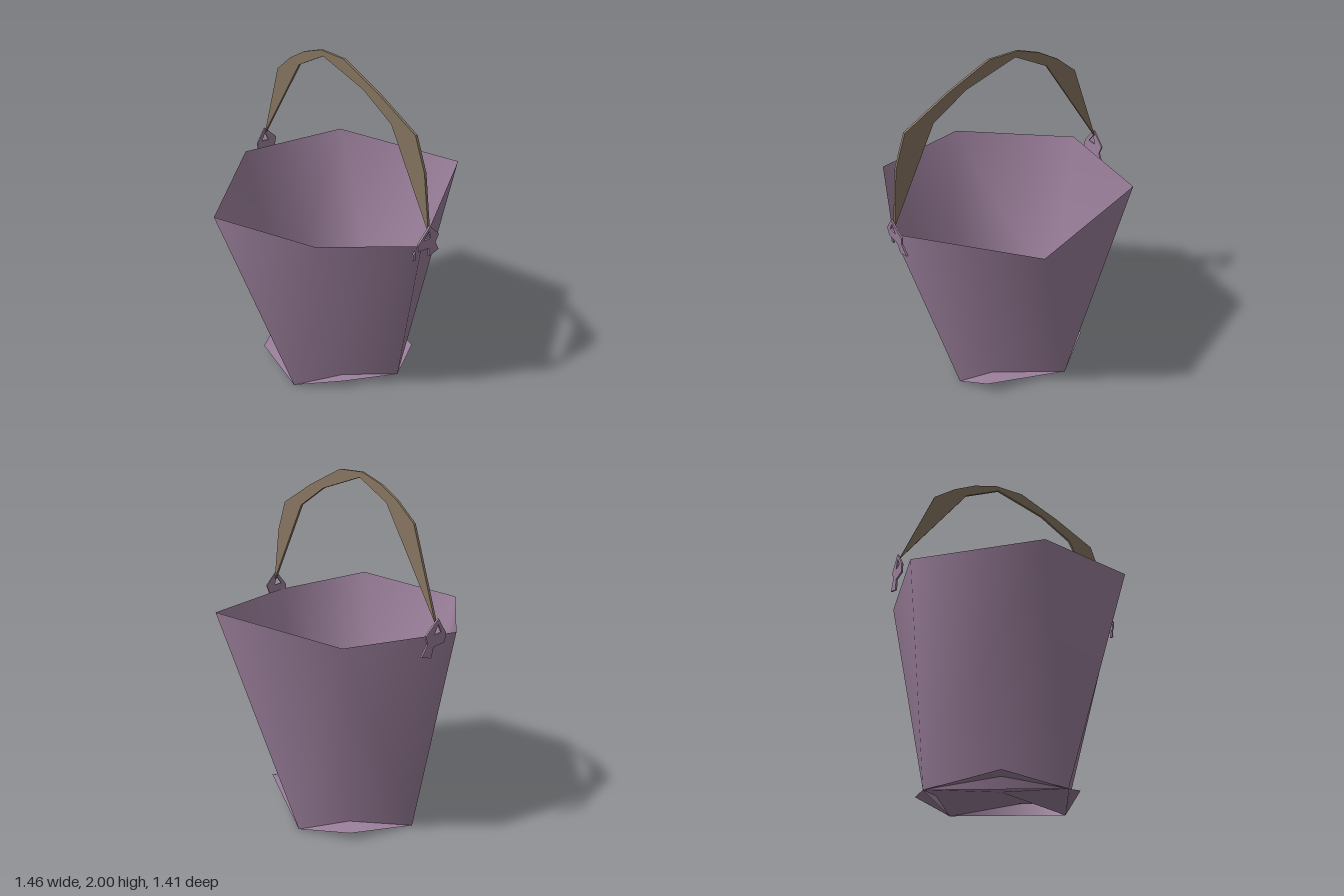
import * as THREE from 'three';

const plum = new THREE.MeshStandardMaterial({ color: 0x9c809c, side: THREE.DoubleSide });
plum.name = 'plum';
const wood = new THREE.MeshStandardMaterial({ color: 0x857460, side: THREE.DoubleSide });
wood.name = 'wood brown';

function surface(name, points, faces, material) {
  const g = new THREE.BufferGeometry();
  g.setAttribute('position', new THREE.Float32BufferAttribute(points.flat(), 3));
  g.setIndex(faces.flat());
  g.computeVertexNormals();
  const mesh = new THREE.Mesh(g, material);
  mesh.name = name;
  return mesh;
}

// Fan from a centre point to a closed ring; down flips the facing
function fan(name, centre, ring, down) {
  const n = ring.length;
  const faces = ring.map((_, i) => {
    const a = i + 1, b = ((i + 1) % n) + 1;
    return down ? [0, b, a] : [0, a, b];
  });
  return surface(name, [centre, ...ring], faces, plum);
}

// Thin flat plate cut from an outline, with optional holes
function plate(name, outline, depth, material, holes = []) {
  const toVectors = (list) => list.map(([x, y]) => new THREE.Vector2(x, y));
  const shape = new THREE.Shape(toVectors(outline));
  for (const h of holes) shape.holes.push(new THREE.Path(toVectors(h)));
  const g = new THREE.ExtrudeGeometry(shape, { depth, bevelEnabled: false });
  g.translate(0, 0, -depth / 2);
  const mesh = new THREE.Mesh(g, material);
  mesh.name = name;
  return mesh;
}

export function createModel() {
  const bucket = new THREE.Group();
  bucket.name = 'bucket';

  // Wall: an uneven six-sided rim tapering to a four-cornered foot
  const rim = [
    [0.705, 1.18, 0.02], [0.28, 1.26, -0.71], [-0.565, 1.235, -0.5],
    [-0.71, 1.22, 0.15], [-0.19, 1.2, 0.705], [0.46, 1.262, 0.52],
  ];
  const foot = [[0.43, 0, -0.14], [-0.14, 0, -0.485], [-0.53, 0, 0.05], [0.09, 0, 0.42]];
  bucket.add(surface('wall', [...rim, ...foot], [
    [0, 6, 1], [1, 6, 7], [1, 7, 2], [2, 7, 8], [2, 8, 3],
    [3, 8, 4], [4, 8, 9], [4, 9, 5], [5, 9, 0], [0, 9, 6],
  ], plum));

  // Floor inside
  const floorRing = [
    [0.38, -0.16], [0.34, -0.2], [-0.1, -0.475], [-0.17, -0.46],
    [-0.47, -0.02], [-0.37, 0.17], [0.04, 0.39], [0.1, 0.385],
  ].map(([x, z]) => [x, 0.07, z]);
  bucket.add(fan('floor', [-0.04, 0.07, -0.04], floorRing, false));

  // Underside: its skirt flares up and out between the foot corners
  const flares = [[0.36, 0.09, -0.33], [-0.42, 0.05, -0.33], [-0.27, 0.06, 0.39], [0.31, 0.06, 0.2]];
  const skirt = foot.flatMap((p, i) => [p, flares[i]]);
  bucket.add(fan('underside', [-0.04, 0.06, -0.04], skirt, true));

  // Handle: flat crooked arch
  const handle = plate('handle', [
    [-0.72, 1.3], [-0.53, 1.78], [-0.4, 1.88], [-0.27, 1.95], [-0.12, 2], [0.07, 2],
    [0.34, 1.89], [0.6, 1.76], [0.67, 1.58], [0.715, 1.25],
    [0.43, 1.76], [0.22, 1.88], [-0.1, 1.97], [-0.32, 1.86],
  ], 0.014, wood);
  const hp = handle.geometry.attributes.position;
  for (let i = 0; i < hp.count; i++) {
    hp.setZ(i, hp.getZ(i) + 0.006 - 0.022 * Math.max(0, (2 - hp.getY(i)) / 0.7));
  }
  handle.geometry.computeVertexNormals();
  bucket.add(handle);

  // Ears: small pierced lugs that hold the handle ends
  const lug = [
    [0.01, 0.21], [0.09, 0.13], [0.075, 0.08], [0.11, 0.02], [0.04, 0],
    [0.03, 0.06], [-0.05, 0.07], [-0.055, 0.12],
  ];
  const hole = [[0.01, 0.18], [-0.02, 0.13], [0.03, 0.125]];
  for (const [name, x, y, tilt] of [['leftEar', 0.7, 1.09, -0.1], ['rightEar', -0.713, 1.12, 0.06]]) {
    const ear = plate(name, lug, 0.01, plum, [hole]);
    ear.rotation.order = 'ZYX';
    ear.rotation.set(0, Math.PI / 2, tilt);
    ear.position.set(x, y, 0);
    bucket.add(ear);
  }

  // Loose tip of the left ear
  const tip = plate('leftEarTip', [[-0.065, 0], [-0.045, 0], [-0.05, 0.05], [-0.065, 0.04]], 0.01, plum);
  tip.rotation.y = Math.PI / 2;
  tip.position.set(0.69, 1.1, 0);
  bucket.add(tip);

  return bucket;
}
